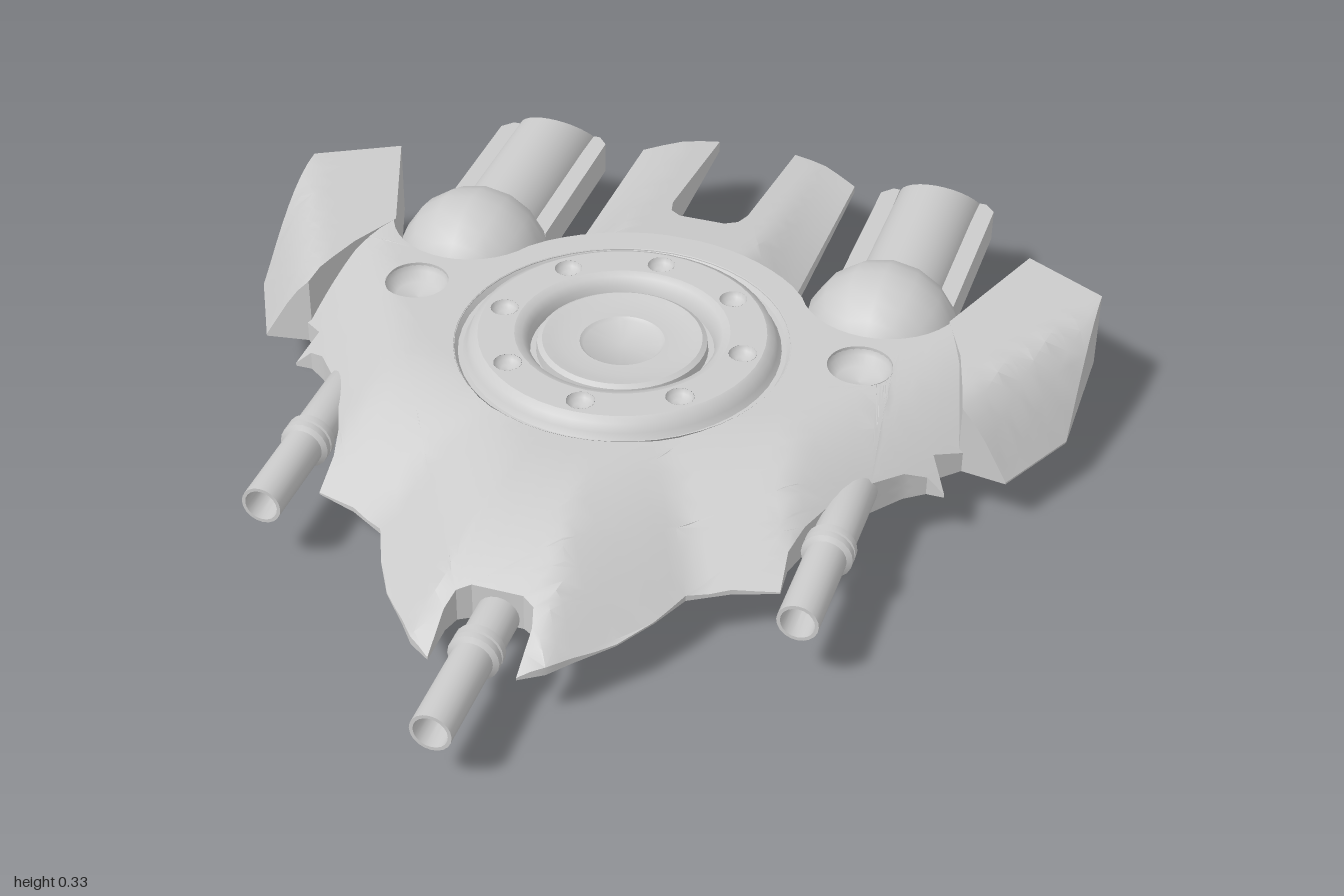
import * as THREE from 'three';
import { toCreasedNormals } from 'three/addons/utils/BufferGeometryUtils.js';

const mat = new THREE.MeshStandardMaterial({ color: 0xcccccc });
const thin = new THREE.MeshStandardMaterial({ color: 0xcccccc, side: THREE.DoubleSide });
const BASE = 0.115, TOP = 0.28, HUB_Z = -0.035;
const V = (x, y) => new THREE.Vector2(x, y);

function add(parent, name, geo, x = 0, y = 0, z = 0, material = mat) {
  const m = new THREE.Mesh(geo, material);
  m.name = name;
  m.position.set(x, y, z);
  parent.add(m);
  return m;
}

// Splits triangles at their longest edge until every edge is short
function subdivide(geo, max) {
  const p = geo.toNonIndexed().attributes.position, out = [], stack = [];
  for (let i = 0; i < p.count; i += 3)
    stack.push([0, 1, 2].map(k => new THREE.Vector3().fromBufferAttribute(p, i + k)));
  while (stack.length) {
    const t = stack.pop();
    const len = [0, 1, 2].map(k => t[k].distanceTo(t[(k + 1) % 3]));
    const k = len.indexOf(Math.max(...len));
    if (len[k] <= max) { t.forEach(v => out.push(v.x, v.y, v.z)); continue; }
    const a = t[k], b = t[(k + 1) % 3], c = t[(k + 2) % 3];
    const m = a.clone().add(b).multiplyScalar(0.5);
    stack.push([a, m, c], [m, b, c]);
  }
  return new THREE.BufferGeometry().setAttribute('position', new THREE.Float32BufferAttribute(out, 3));
}

// Plate over an (x, z) outline, with its top following height(x, z)
function slab(outline, bottom, height, holes = []) {
  const shape = new THREE.Shape(outline.map(([x, z]) => V(x, -z)));
  for (const [x, z, r] of holes) shape.holes.push(new THREE.Path().absarc(x, -z, r, 0, Math.PI * 2, true));
  const flat = new THREE.ExtrudeGeometry(shape, { depth: 0.1, bevelEnabled: false, curveSegments: 24 });
  flat.rotateX(-Math.PI / 2);
  const geo = subdivide(flat, 0.05), p = geo.attributes.position;
  for (let i = 0; i < p.count; i++) {
    const top = Math.max(bottom + 0.004, height(Math.abs(p.getX(i)), p.getZ(i)));
    p.setY(i, bottom + (p.getY(i) / 0.1) * (top - bottom));
  }
  return toCreasedNormals(geo, 0.5);
}

const mirror = half => [...half, ...half.slice().reverse().map(([x, z]) => [-x, z])];

function arc(cx, cz, r, from, to, n) {
  return Array.from({ length: n + 1 }, (_, i) => {
    const a = THREE.MathUtils.degToRad(from + (to - from) * i / n);
    return [cx + r * Math.cos(a), cz + r * Math.sin(a)];
  });
}

// Rounded rise from the rim, d = distance inside it, w = width of the slope
const rise = (d, w) => BASE + (TOP - BASE) * Math.sin(Math.PI / 2 * THREE.MathUtils.clamp(d / w, 0, 1));

function hullHeight(x, z) {
  const nose = Math.min(rise(0.815 - z, 0.46), rise(0.535 - 0.855 * x - 0.52 * z, 0.3));
  const flank = Math.min(rise(0.625 - 0.869 * x - 0.494 * z, 0.24), rise(0.59 - 0.437 * x - 0.9 * z, 0.34));
  return Math.max(nose, flank);
}

// Short barrel along z with a collar and a hollow muzzle
function barrel(parent, name, x, y, back, front, collar) {
  const profile = [V(0, back), V(0.028, back + 0.01), V(0.042, back + 0.04), V(0.042, collar - 0.02),
    V(0.05, collar - 0.015), V(0.05, collar), V(0.044, collar + 0.003), V(0.05, collar + 0.006),
    V(0.05, collar + 0.02), V(0.04, collar + 0.026), V(0.04, front), V(0.033, front),
    V(0.03, front - 0.07), V(0, front - 0.07)];
  const geo = new THREE.LatheGeometry(profile, 20);
  geo.rotateX(Math.PI / 2);
  add(parent, name, toCreasedNormals(geo, 0.6), x, y, 0);
}

export function createModel() {
  const g = new THREE.Group();
  g.name = 'hoverCraft';

  // Main hull with nose slot, side recesses and engine bays
  const half = [[0.05, 0.67], [0.075, 0.685], [0.085, 0.72], [0.085, 0.805], [0.13, 0.775], [0.165, 0.73],
    [0.225, 0.66], [0.27, 0.58], [0.305, 0.5], [0.38, 0.455], [0.465, 0.425], [0.46, 0.36], [0.475, 0.3],
    [0.505, 0.23], [0.56, 0.14], [0.61, 0.075], [0.65, 0.045], [0.686, 0.045], [0.65, 0], [0.7, -0.05],
    [0.72, -0.25], [0.65, -0.4], ...arc(0.45, -0.37, 0.168, 25, 155, 14), ...arc(0, HUB_Z, 0.4, -48, -85, 7)];
  const cups = [[0.47, -0.105, 0.065], [-0.47, -0.105, 0.065]];
  add(g, 'hull', slab(mirror(half), BASE, hullHeight, [[0, HUB_Z, 0.335], ...cups]));

  // Swept wing tips
  const wing = [[0.707, -0.593], [0.876, -0.5], [0.876, -0.206], [0.79, -0.035], [0.69, -0.05],
    [0.65, -0.2], [0.602, -0.31]];
  const wingHeight = (x, z) => rise(0.69 - 0.893 * x - 0.45 * z, 0.135);
  for (const s of [1, -1])
    add(g, s > 0 ? 'leftWing' : 'rightWing', slab(wing.map(([x, z]) => [s * x, z]), BASE, wingHeight));

  // Forked tail plate
  const fork = [[0.25, -0.28], [0.25, -0.925], [0.17, -0.972], [0.09, -1], [0.085, -0.63], [0.075, -0.59],
    [0.05, -0.57]];
  const forkHeight = (x, z) => {
    const ridge = THREE.MathUtils.lerp(0.27, 0.18, THREE.MathUtils.clamp((-z - 0.4) / 0.6, 0, 1));
    return ridge - (ridge - 0.165) * 0.8 * Math.max(0, (x - 0.15) / 0.1);
  };
  add(g, 'tailFork', slab(mirror(fork), 0.155, forkHeight));

  // Round hatch: rim, pierced ring and hub
  const hatch = new THREE.Group();
  hatch.name = 'hatch';
  hatch.position.z = HUB_Z;
  g.add(hatch);
  const rim = [V(0.337, 0.281), V(0.328, 0.268), V(0.318, 0.268), V(0.31, 0.28), V(0.303, 0.297), V(0.288, 0.305)];
  const hub = [V(0.215, 0.305), V(0.2, 0.3), V(0.188, 0.285), V(0.184, 0.262), V(0.172, 0.262), V(0.17, 0.282),
    V(0.16, 0.288), V(0.145, 0.285), V(0.12, 0.28), V(0.085, 0.28), V(0.078, 0.274), V(0, 0.27)];
  for (const [name, pts] of [['hatchRim', rim], ['hatchHub', hub]])
    add(hatch, name, toCreasedNormals(new THREE.LatheGeometry(pts, 48), 0.7), 0, 0, 0, thin);
  const ring = new THREE.Shape().absarc(0, 0, 0.288, 0, Math.PI * 2, false);
  ring.holes.push(new THREE.Path().absarc(0, 0, 0.215, 0, Math.PI * 2, true));
  const dimple = new THREE.LatheGeometry([V(0.028, 0), V(0.024, -0.01), V(0.014, -0.016), V(0, -0.018)], 16);
  for (let i = 0; i < 8; i++) {
    const a = i * Math.PI / 4, x = 0.25 * Math.cos(a), z = 0.25 * Math.sin(a);
    ring.holes.push(new THREE.Path().absarc(x, z, 0.028, 0, Math.PI * 2, true));
    add(hatch, 'hatchDimple', dimple, x, 0.305, z, thin);
  }
  add(hatch, 'hatchRing', new THREE.ShapeGeometry(ring, 24).rotateX(-Math.PI / 2), 0, 0.305, 0);
  add(hatch, 'hatchUnderside', new THREE.CircleGeometry(0.337, 48).rotateX(Math.PI / 2), 0, BASE, 0);

  // Engine tube with slanted top lip
  const tube = [V(0.095, 0), V(0.095, 0.425), V(0.085, 0.425), V(0.085, 0.05), V(0, 0.05)];
  const tubeGeo = new THREE.LatheGeometry(tube, 32).rotateX(-Math.PI / 2);
  const tp = tubeGeo.attributes.position;
  for (let i = 0; i < tp.count; i++)
    if (tp.getZ(i) < -0.4) tp.setZ(i, -0.425 + 0.055 * Math.max(0, (tp.getY(i) - 0.035) / 0.06));

  for (const s of [1, -1]) {
    const side = s > 0 ? 'left' : 'right';
    // Shoulder cups sunk into the hull
    const cup = new THREE.LatheGeometry([V(0.066, 0.277), V(0.062, 0.262), V(0.045, 0.245), V(0, 0.238)], 28);
    add(g, side + 'ShoulderCup', cup, s * 0.47, 0, -0.105, thin);
    add(g, side + 'CupUnderside', new THREE.CircleGeometry(0.066, 28).rotateX(Math.PI / 2), s * 0.47, BASE, -0.105);

    // Engine ball, tube and side rails
    const engine = new THREE.Group();
    engine.name = side + 'Engine';
    engine.position.set(s * 0.45, 0.167, -0.37);
    g.add(engine);
    add(engine, 'engineBall', new THREE.SphereGeometry(0.163, 16, 12).rotateX(Math.PI / 2));
    add(engine, 'engineTube', toCreasedNormals(tubeGeo, 0.6), 0, 0, -0.1, thin);
    for (const k of [1, -1]) {
      const rail = new THREE.Shape([V(0.08, 0.1), V(0.127, 0.1), V(0.127, 0.5), V(0.105, 0.525), V(0.09, 0.525)]);
      const geo = new THREE.ExtrudeGeometry(rail, { depth: 0.07, bevelEnabled: false });
      geo.rotateX(-Math.PI / 2);
      if (k < 0) geo.rotateZ(Math.PI).translate(0, 0.07, 0);
      add(engine, 'engineRail', geo, 0, -0.035, 0);
    }
    barrel(g, side + 'Barrel', s * 0.53, 0.16, 0.08, 0.545, 0.325);
  }
  barrel(g, 'noseBarrel', 0, 0.135, 0.48, 1, 0.775);
  return g;
}
